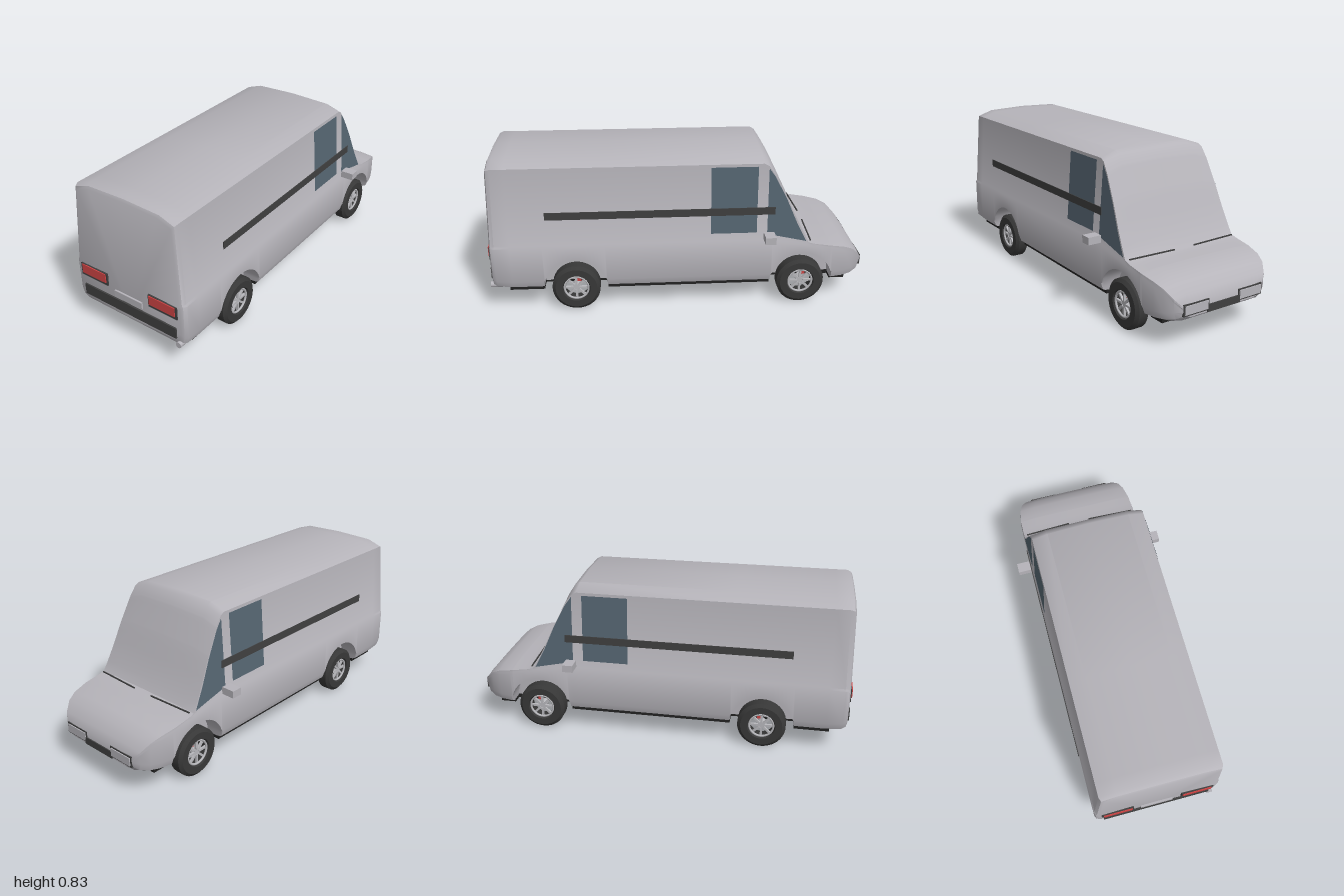
import * as THREE from 'three';
import { toCreasedNormals } from 'three/addons/utils/BufferGeometryUtils.js';

const mat = (name, color, side = THREE.FrontSide) => {
  const m = new THREE.MeshStandardMaterial({ color, side });
  m.name = name;
  return m;
};

const WHEEL_Z = [-0.65, 0.55], WHEEL_Y = 0.128, ARCH_R = 0.168;

// Body stations from tail to nose: z, half width, bottom, shoulder, top
const STATIONS = [
  [0.987, 0.318, 0.165, 0.378, 0.812], [0.98, 0.332, 0.148, 0.383, 0.826],
  [0.96, 0.34, 0.138, 0.385, 0.835], [0.88, 0.34, 0.13, 0.385, 0.835],
  [-0.43, 0.34, 0.13, 0.385, 0.835], [-0.455, 0.34, 0.13, 0.384, 0.82],
  [-0.49, 0.34, 0.13, 0.38, 0.765], [-0.555, 0.34, 0.13, 0.373, 0.63],
  [-0.61, 0.34, 0.13, 0.366, 0.5], [-0.65, 0.34, 0.13, 0.361, 0.415],
  [-0.68, 0.34, 0.13, 0.355, 0.367], [-0.72, 0.34, 0.13, 0.346, 0.357],
  [-0.8, 0.338, 0.13, 0.328, 0.35], [-0.88, 0.324, 0.132, 0.31, 0.335],
  [-0.93, 0.305, 0.136, 0.29, 0.31], [-0.97, 0.275, 0.145, 0.25, 0.267],
  [-0.992, 0.24, 0.162, 0.215, 0.232],
];

// Half width of the upper side walls, leaning inward with height
const sideX = (y) => 0.333 - (y - 0.39) * 0.07;

function stationAt(z) {
  const i = Math.max(1, STATIONS.findIndex((s) => s[0] <= z));
  const a = STATIONS[i - 1], b = STATIONS[i];
  const t = (z - a[0]) / (b[0] - a[0]);
  return a.map((v, k) => v + (b[k] - v) * t);
}

// Closed ring: floor centre, up the left side with its wheel well, over the roof, mirrored down
function section(z) {
  const [, hw, B, S, T] = stationAt(z);
  let arch = 0;
  for (const c of WHEEL_Z) {
    const d = Math.abs(z - c);
    if (d <= ARCH_R + 1e-6) arch = 0.135 + Math.sqrt(Math.max(0, ARCH_R ** 2 - d * d));
  }
  const up = (y) => Math.max(y, arch);
  const inner = Math.min(0.235, hw * 0.69);
  const rise = T - S;
  const edge = T - rise * (rise < 0.04 ? 0.5 : 0.08);
  const inset = 0.34 - hw;
  const edgeX = sideX(edge) - inset;
  const half = [
    [0, B], [inner, B], [inner, up(B)], [hw - 0.045, up(B)], [hw - 0.012, up(B + 0.015)],
    [hw, up(Math.min(B + 0.05, S - 0.02))], [hw, S - 0.01], [sideX(S) - inset, S],
    [edgeX, edge], [edgeX * 0.72, T - (T - edge) * 0.2], [0, T],
  ];
  const ring = [...half, ...half.slice(1, -1).reverse().map(([x, y]) => [-x, y])];
  const lean = z > 0.9 ? 0.03 : 0;
  return ring.map(([x, y]) => [x, y, z - Math.max(0, y - 0.385) * lean]);
}

function bodyGeometry() {
  const zs = new Set(STATIONS.map((s) => s[0]));
  for (const c of WHEEL_Z) {
    for (let k = 0; k <= 20; k++) zs.add(c - ARCH_R * Math.cos((k / 20) * Math.PI));
    zs.add(c - ARCH_R - 0.001);
    zs.add(c + ARCH_R + 0.001);
  }
  const rings = [...zs].sort((a, b) => b - a).map(section);
  const n = rings[0].length, idx = [];
  for (let i = 0; i < rings.length - 1; i++) {
    for (let j = 0; j < n; j++) {
      const k = (j + 1) % n;
      const a = i * n + j, b = i * n + k, c = b + n, d = a + n;
      idx.push(a, d, b, b, d, c);
    }
  }
  const last = (rings.length - 1) * n;
  for (let j = 1; j < n - 1; j++) idx.push(0, j, j + 1, last, last + j + 1, last + j);
  const g = new THREE.BufferGeometry();
  g.setAttribute('position', new THREE.Float32BufferAttribute(rings.flat(2), 3));
  g.setIndex(idx);
  return toCreasedNormals(g, 0.6);
}

export function createModel() {
  const van = new THREE.Group();
  van.name = 'van';
  const paint = mat('body grey', 0xb6b4ba);
  const dark = mat('dark trim', 0x404040);
  const under = mat('underbody black', 0x222222);
  const glass = mat('window glass', 0x566672, THREE.DoubleSide);
  const red = mat('lamp red', 0xcc4444);
  const silver = mat('rim silver', 0xb8b8bc);
  const rubber = mat('tyre rubber', 0x383838);

  const add = (name, geo, material, parent = van) => {
    const m = new THREE.Mesh(geo, material);
    m.name = name;
    parent.add(m);
    return m;
  };
  // Box from its minimum and maximum on each axis
  const box = (name, material, x0, x1, y0, y1, z0, z1, parent = van) => {
    const m = add(name, new THREE.BoxGeometry(x1 - x0, y1 - y0, z1 - z0), material, parent);
    m.position.set((x0 + x1) / 2, (y0 + y1) / 2, (z0 + z1) / 2);
    return m;
  };

  add('body', bodyGeometry(), paint);

  // Underbody, narrowed between the wheels
  const spans = [[-0.9, -0.818, 0.285], [-0.818, -0.482, 0.234], [-0.482, 0.382, 0.308],
    [0.382, 0.718, 0.234], [0.718, 0.9, 0.308]];
  for (const [z0, z1, w] of spans) box('underbody', under, -w, w, 0.118, 0.14, z0, z1);

  // Side windows that follow the leaning wall
  const windowShapes = {
    doorWindow: [[-0.16, 0.428], [-0.16, 0.785], [-0.4, 0.785], [-0.4, 0.428]],
    quarterWindow: [[-0.455, 0.418], [-0.455, 0.775], [-0.49, 0.727], [-0.555, 0.602],
      [-0.61, 0.478], [-0.665, 0.372]],
  };
  for (const s of [1, -1]) {
    for (const [name, pts] of Object.entries(windowShapes)) {
      const g = new THREE.ShapeGeometry(new THREE.Shape(pts.map((p) => new THREE.Vector2(...p))));
      const p = g.attributes.position;
      for (let i = 0; i < p.count; i++) {
        const z = p.getX(i), y = p.getY(i);
        p.setXYZ(i, s * (sideX(y) + 0.003), y, z);
      }
      g.computeVertexNormals();
      add(name, g, glass);
    }

    // Side rail, mirror and wiper
    const pair = (a, b) => (s > 0 ? [a, b] : [-b, -a]);
    box('sideRail', dark, ...pair(0.342, 0.346), 0.535, 0.575, -0.49, 0.69);
    box('mirror', paint, ...pair(0.345, 0.417), 0.396, 0.434, -0.49, -0.435);
    const wiper = box('wiper', dark, ...pair(0.06, 0.32), 0.364, 0.37, -0.7, -0.694);
    wiper.rotation.y = s * -0.04;

    // Tail lamps and headlamps
    box('tailLampFrame', dark, ...pair(0.13, 0.303), 0.3, 0.368, 0.98, 0.993);
    box('tailLamp', red, ...pair(0.138, 0.292), 0.316, 0.366, 0.99, 0.998);
    box('headlampFrame', dark, ...pair(0.09, 0.24), 0.172, 0.23, -0.995, -0.965);
    box('headlamp', paint, ...pair(0.098, 0.232), 0.18, 0.223, -1.0, -0.99);
  }

  // Front grille, rear bumper bar, number plate and exhaust
  box('grille', dark, -0.1, 0.1, 0.163, 0.2, -0.998, -0.97);
  box('bumperBar', dark, -0.292, 0.292, 0.185, 0.245, 0.975, 0.995);
  box('numberPlate', paint, -0.088, 0.086, 0.257, 0.294, 0.98, 0.994);
  const exhaust = add('exhaust', new THREE.CylinderGeometry(0.016, 0.016, 0.06, 20), paint);
  exhaust.rotation.x = Math.PI / 2;
  exhaust.position.set(0.306, 0.155, 0.968);

  // Wheels, built around the y axis and turned outward
  const tyreProfile = [[0.068, 0.03], [0.068, -0.03], [0.074, -0.04], [0.11, -0.04], [0.127, -0.026],
    [0.127, 0.026], [0.11, 0.04], [0.074, 0.04], [0.068, 0.03]];
  const tyreGeo = toCreasedNormals(
    new THREE.LatheGeometry(tyreProfile.map((p) => new THREE.Vector2(...p)), 40), 0.6);
  const rimGeo = new THREE.TorusGeometry(0.064, 0.006, 8, 36).rotateX(Math.PI / 2);
  const hubGeo = new THREE.CylinderGeometry(0.018, 0.02, 0.05, 20);
  const spokeGeo = new THREE.BoxGeometry(0.05, 0.012, 0.011).translate(0.039, 0.022, 0);
  for (const s of [1, -1]) {
    for (const z of WHEEL_Z) {
      const wheel = new THREE.Group();
      wheel.name = 'wheel';
      add('tyre', tyreGeo, rubber, wheel);
      add('rimEdge', rimGeo, silver, wheel).position.y = 0.028;
      add('hub', hubGeo, silver, wheel);
      for (let k = 0; k < 8; k++) add('spoke', spokeGeo, silver, wheel).rotation.y = (k * Math.PI) / 4;
      wheel.rotation.z = -s * Math.PI / 2;
      wheel.position.set(s * 0.295, WHEEL_Y, z);
      van.add(wheel);
      box('brakeCaliper', red, s * 0.295 - 0.012, s * 0.295 + 0.012,
        WHEEL_Y + 0.03, WHEEL_Y + 0.058, z - 0.026, z - 0.004);
    }
  }
  return van;
}
